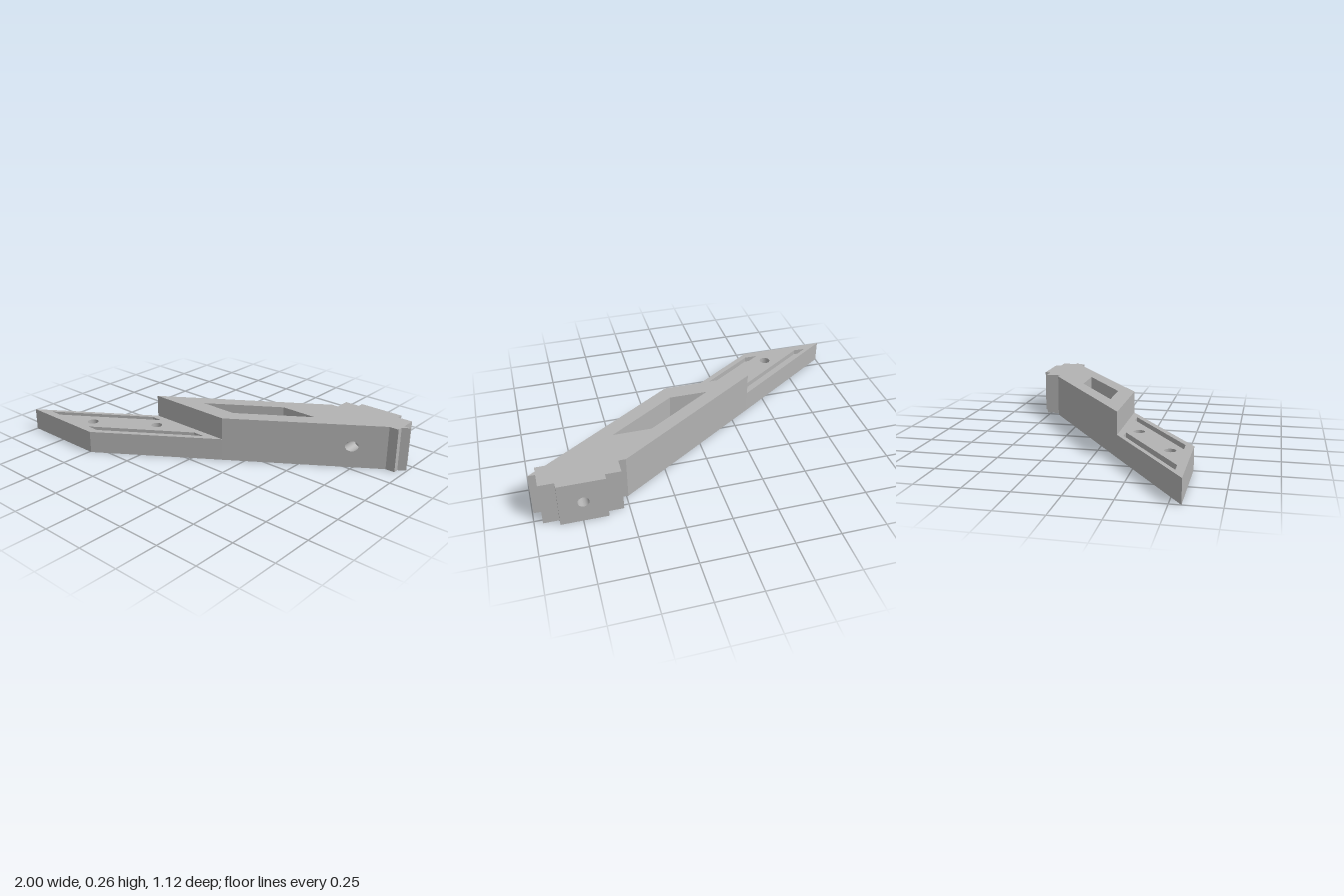
import * as THREE from 'three';
import { mergeGeometries } from 'three/addons/utils/BufferGeometryUtils.js';

const LOW = 0.128, TOP = 0.256;            // deck heights
const BOLT = { x: 0.74, y: 0.128, r: 0.031 };  // cross bolt bore along z

// Plan points are [x, z], listed counter-clockwise seen from above.
const shapeOf = (pts, s, holes = []) => {
  const v = (list) => list.map(([x, z]) => new THREE.Vector2(x, s * z));
  const shape = new THREE.Shape(v(pts));
  holes.forEach((h) => shape.holes.push(new THREE.Path(v(h))));
  return shape;
};

// Horizontal face looking up or down
function plate(pts, y, up, holes) {
  const g = new THREE.ShapeGeometry(shapeOf(pts, up ? -1 : 1, holes));
  return g.rotateX(up ? -Math.PI / 2 : Math.PI / 2).translate(0, y, 0);
}

// Upright face from a to b, optionally pierced by the cross bolt
function wall(a, b, y0, y1, bored = false) {
  const dx = b[0] - a[0], dz = b[1] - a[1], len = Math.hypot(dx, dz);
  const shape = shapeOf([[0, y0], [len, y0], [len, y1], [0, y1]], 1);
  if (bored) {
    const k = len / dx;
    const hole = new THREE.Path();
    hole.absellipse((BOLT.x - a[0]) * k, BOLT.y, BOLT.r * Math.abs(k), BOLT.r, 0, Math.PI * 2, true, 0);
    shape.holes.push(hole);
  }
  const m = new THREE.Matrix4().makeBasis(
    new THREE.Vector3(dx / len, 0, dz / len),
    new THREE.Vector3(0, 1, 0),
    new THREE.Vector3(-dz / len, 0, dx / len)
  ).setPosition(a[0], 0, a[1]);
  return new THREE.ShapeGeometry(shape, 16).applyMatrix4(m);
}

// Inward-facing walls of a cut-out
const cutWalls = (pts, y0, y1, bored = []) =>
  pts.map((p, i) => wall(pts[(i + 1) % pts.length], p, y0, y1, bored.includes(i)));

const ngon = (cx, cz, r, n) => Array.from({ length: n }, (_, i) => {
  const t = (i / n) * Math.PI * 2;
  return [cx + r * Math.cos(t), cz - r * Math.sin(t)];
});

// Inside of the bolt bore between two faces given as z(x)
function bore(zFront, zBack) {
  const g = new THREE.CylinderGeometry(BOLT.r, BOLT.r, 1, 32, 1, true).rotateX(Math.PI / 2);
  const p = g.attributes.position;
  for (let i = 0; i < p.count; i++) {
    const x = p.getX(i) + BOLT.x;
    p.setXYZ(i, x, p.getY(i) + BOLT.y, p.getZ(i) > 0 ? zFront(x) : zBack(x));
  }
  g.index.array.reverse();
  g.computeVertexNormals();
  return g;
}

export function createModel() {
  const grey = new THREE.MeshStandardMaterial({ color: 0xb3b3b3 });
  grey.name = 'grey plastic';
  const group = new THREE.Group();
  group.name = 'angledBracket';
  const add = (name, parts) => {
    const mesh = new THREE.Mesh(mergeGeometries(parts), grey);
    mesh.name = name;
    group.add(mesh);
  };

  // Plan outlines
  const tailL = [-1, 0.56], tailR = [-0.49, 0.56];
  const stepR = [0.145, 0.133], stepL = [-0.365, 0.133];
  const head = [
    [0.9, -0.378], [0.955, -0.378], [0.955, -0.41], [0.995, -0.437], [0.955, -0.437],
    [0.955, -0.525], [0.87, -0.525], [0.87, -0.56], [0.615, -0.56], [0.615, -0.525],
    [0.53, -0.525], [0.53, -0.437], [0.49, -0.437],
  ];
  const lowDeck = [tailL, tailR, stepR, stepL];
  const highDeck = [stepL, stepR, ...head];
  const outline = [tailL, tailR, stepR, ...head, stepL];

  // Cut-outs
  const windowCut = [[-0.08, 0.035], [0.14, 0.035], [0.52, -0.22], [0.305, -0.22]];
  const grooves = [
    [[-0.89, 0.515], [-0.82, 0.515], [-0.305, 0.17], [-0.375, 0.17]],
    [[-0.555, 0.515], [-0.48, 0.515], [0.035, 0.17], [-0.035, 0.17]],
  ];
  const screws = [[-0.59, 0.45], [-0.272, 0.237]];
  const rounds = screws.map(([x, z]) => ngon(x, z, 0.031, 32));
  const hexes = screws.map(([x, z]) => ngon(x, z, 0.06, 6));
  const slot = [[0.685, -0.35], [0.795, -0.35], [0.795, -0.4], [0.685, -0.4]];
  const hexDepth = 0.05, slotDepth = 0.185, grooveFloor = LOW - 0.03;

  // Outer faces
  add('lowDeck', [plate(lowDeck, LOW, true, [...grooves, ...rounds])]);
  add('highDeck', [plate(highDeck, TOP, true, [windowCut])]);
  add('underside', [plate(outline, 0, false, [windowCut, ...hexes, slot])]);
  add('tailWalls', [
    wall(tailL, tailR, 0, LOW), wall(tailR, stepR, 0, LOW), wall(stepL, tailL, 0, LOW),
  ]);
  add('stepWall', [wall(stepL, stepR, LOW, TOP)]);
  const rim = [stepR, ...head, stepL];
  add('armAndHeadWalls', rim.slice(1).map((p, i) => wall(rim[i], p, 0, TOP, i === 0 || i === 8)));

  // Inner faces
  add('windowWalls', cutWalls(windowCut, 0, TOP));
  grooves.forEach((g) => add('groove', [...cutWalls(g, grooveFloor, LOW), plate(g, grooveFloor, true)]));
  screws.forEach((_, i) => add('screwHole', [
    ...cutWalls(rounds[i], hexDepth, LOW),
    ...cutWalls(hexes[i], 0, hexDepth),
    plate(hexes[i], hexDepth, false, [rounds[i]]),
  ]));
  add('nutSlot', [...cutWalls(slot, 0, slotDepth, [0, 2]), plate(slot, slotDepth, false)]);

  // Cross bolt bore, split by the nut slot
  const slope = (head[0][1] - stepR[1]) / (head[0][0] - stepR[0]);
  add('boltBore', [
    bore((x) => stepR[1] + (x - stepR[0]) * slope, () => -0.35),
    bore(() => -0.4, () => -0.56),
  ]);
  return group;
}
